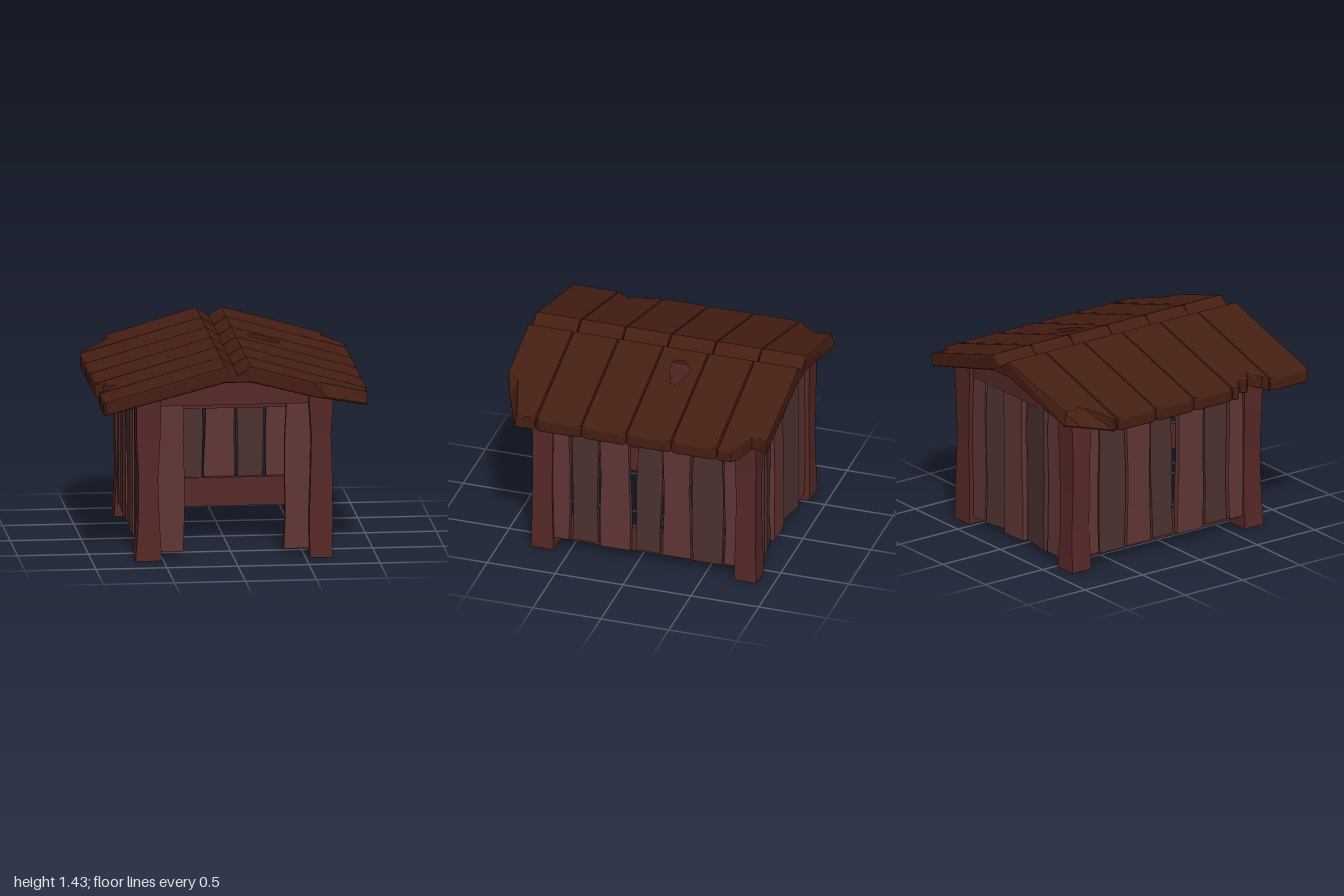
import * as THREE from 'three';

const mat = (color) => new THREE.MeshStandardMaterial({ color, flatShading: true, roughness: 1 });
const ROOF = mat(0x451e13), BEAM = mat(0x562927), LIGHT = mat(0x603634), DARK = mat(0x4c322f);

// Hand-cut timber: a box whose layers wobble a little; waist narrows the middle
function timber(name, w, h, d, material, seed, wobble = 0.008, waist = 0) {
  const g = new THREE.BoxGeometry(w, h, d, 1, 4, 1), p = g.attributes.position;
  for (let i = 0; i < p.count; i++) {
    const layer = Math.round((p.getY(i) / h + 0.5) * 4);
    const side = Math.sign(p.getX(i));
    const k = 1 - waist * Math.sin((layer / 4) * Math.PI);
    p.setX(i, p.getX(i) * k + wobble * Math.sin(seed * 3.7 + layer * 1.9 + side * 1.3));
    p.setZ(i, p.getZ(i) * k);
  }
  g.computeVertexNormals();
  const m = new THREE.Mesh(g, material);
  m.name = name;
  return m;
}

// Roof section heights, by distance a from the ridge
const topY = (a) => (a <= 0.09 ? 1.37 + (a / 0.09) * 0.06 : 1.43 - 0.285 * (a - 0.09));
const bottomY = (a) => (a <= 0.09 ? 1.31 : 1.31 - 0.259 * (a - 0.09));

// Roof board from a plan outline [a, z, topShiftA, topShiftZ], bent onto the roof section
function roofBoard(name, side, outline, lo, hi, hole) {
  const pts = (list) => list.map(([a, z]) => new THREE.Vector2(side * a, -z));
  const shape = new THREE.Shape(pts(outline));
  if (hole) shape.holes.push(new THREE.Path(pts(hole)));
  const g = new THREE.ExtrudeGeometry(shape, {
    depth: 0.7, bevelThickness: 0.15, bevelSize: 0.014, bevelOffset: -0.014, bevelSegments: 2,
  });
  const p = g.attributes.position;
  for (let i = 0; i < p.count; i++) {
    let a = p.getX(i) * side, z = -p.getY(i);
    const t = p.getZ(i) + 0.15;
    if (t > 0.5) { // splintered corners slope back towards the top
      const c = outline.find((o) => o[2] !== undefined && Math.hypot(o[0] - a, o[1] - z) < 0.045);
      if (c) { a += c[2]; z += c[3]; }
    }
    a = THREE.MathUtils.clamp(a, lo, hi);
    p.setXYZ(i, side * a, THREE.MathUtils.lerp(bottomY(a), topY(a), t), z);
  }
  g.computeVertexNormals();
  const m = new THREE.Mesh(g, ROOF);
  m.name = name;
  return m;
}

function buildRoof() {
  const roof = new THREE.Group();
  roof.name = 'roof';
  // Broken eave ends, listed from back to front; key = side and board number
  const ends = {
    '-1,0': [[0.755, -0.995, -0.02, 0.02], [0.81, -0.9, -0.09, 0.04], [0.87, -0.8, -0.12, -0.01],
      [0.935, -0.7, -0.01, 0], [0.93, -0.675]],
    '1,0': [[0.81, -0.995], [0.785, -0.93], [0.785, -0.88], [0.84, -0.855], [0.9, -0.825], [0.94, -0.775], [0.94, -0.675]],
    '-1,4': [[0.93, 0.338], [0.942, 0.385], [0.89, 0.41], [0.875, 0.44], [0.895, 0.485], [0.87, 0.515],
      [0.815, 0.545], [0.87, 0.585], [0.885, 0.62], [0.942, 0.64], [0.935, 0.66]],
    '1,5': [[0.935, 0.67], [0.935, 0.82, -0.01, -0.01], [0.84, 0.865, -0.02, -0.025],
      [0.72, 0.915, -0.03, -0.035], [0.63, 0.955, -0.03, -0.05], [0.54, 0.993]],
  };
  const hole = [[0.175, -0.2], [0.24, -0.265], [0.31, -0.27], [0.425, -0.21], [0.435, -0.15],
    [0.36, -0.13], [0.3, -0.1], [0.19, -0.1]];
  for (const side of [-1, 1]) {
    for (let n = 0; n < 6; n++) {
      const z0 = -0.997 + n * 0.3325, z1 = z0 + 0.329;
      const end = ends[`${side},${n}`] ||
        [[0.93, z0], [0.942, z0 + 0.03], [0.942, z1 - 0.03], [0.93, z1]];
      roof.add(roofBoard('roofBoard', side, [[0.06, z0], ...end, [0.06, z1]], 0.09, 0.942,
        side === 1 && n === 2 ? hole : null));
      roof.add(roofBoard('ridgeBoard', side,
        [[-0.03, z0], [0.12, z0], [0.12, z1], [-0.03, z1]], 0, 0.09));
    }
  }
  return roof;
}

// Wall of upright planks [from, to, dark, roll, yaw] along local x, outside facing +z
function buildWall(name, planks, bottom, top, rails) {
  const wall = new THREE.Group();
  wall.name = name;
  planks.forEach(([a, b, dark, roll = 0, yaw = 0], i) => {
    const y0 = bottom + 0.008 * Math.sin(i * 2.3);
    const m = timber('plank', b - a, top - y0, 0.045, dark ? DARK : LIGHT, i + 1, 0.006);
    m.position.set((a + b) / 2, (top + y0) / 2, dark ? -0.008 : 0);
    m.rotation.set(0, yaw, roll);
    wall.add(m);
  });
  for (const [x0, x1, y0, y1] of rails) {
    const m = new THREE.Mesh(new THREE.BoxGeometry(x1 - x0, y1 - y0, 0.045), BEAM);
    m.name = 'rail';
    m.position.set((x0 + x1) / 2, (y0 + y1) / 2, -0.04);
    wall.add(m);
  }
  return wall;
}

export function createModel() {
  const model = new THREE.Group();
  model.name = 'woodenShed';
  model.add(buildRoof());

  // Corner posts
  [[-0.605, 0.695], [0.61, 0.695], [-0.605, -0.8], [0.61, -0.8]].forEach(([x, z], i) => {
    const post = timber('cornerPost', 0.17, 1.17, 0.165, BEAM, i, 0.008, 0.13);
    post.position.set(x, 0.585, z);
    model.add(post);
  });

  // Gable boards under both roof ends
  const gable = new THREE.Shape([[-0.68, 1.1], [0.69, 1.1], [0.69, 1.16], [0.09, 1.32], [-0.09, 1.32], [-0.68, 1.16]]
    .map(([x, y]) => new THREE.Vector2(x, y)));
  for (const z of [0.65, -0.85]) {
    const m = new THREE.Mesh(new THREE.ExtrudeGeometry(gable, { depth: 0.09, bevelEnabled: false }), BEAM);
    m.name = 'gableBoard';
    m.position.z = z;
    model.add(m);
  }

  // Side walls, planks listed by z and mirrored across x
  const sidePlanks = [[0.5, 0.63, 0], [0.295, 0.48, 1], [0.06, 0.275, 0, -0.01], [-0.175, 0.005, 1, 0.022],
    [-0.385, -0.19, 0], [-0.625, -0.4, 1], [-0.74, -0.64, 0]];
  for (const side of [-1, 1]) {
    const list = sidePlanks.map(([a, b, dark, roll = 0]) =>
      side === 1 ? [-b, -a, dark, -roll] : [a, b, dark, roll]);
    const [r0, r1] = side === 1 ? [-0.63, 0.74] : [-0.74, 0.63];
    const wall = buildWall('sideWall', list, 0.09, 1.17, [[r0, r1, 0.065, 0.25], [r0, r1, 0.71, 0.9]]);
    wall.position.x = side * 0.645;
    wall.rotation.y = side * Math.PI / 2;
    model.add(wall);
  }

  // Back wall
  const back = buildWall('backWall',
    [[-0.54, -0.385, 0], [-0.365, -0.175, 1, 0, 0.2], [-0.165, 0.045, 0, 0.015], [0.06, 0.335, 1, 0, -0.2], [0.35, 0.54, 0]],
    0.05, 1.14, [[-0.54, 0.54, 0.05, 0.255], [-0.54, 0.54, 0.75, 0.945]]);
  back.position.z = -0.82;
  back.rotation.y = Math.PI;
  model.add(back);

  // Front wall: one plank beside each post, doorway between
  const front = buildWall('frontWall', [[-0.54, -0.35, 0], [0.36, 0.54, 0, -0.012]], 0.05, 1.11, []);
  front.position.z = 0.69;
  model.add(front);

  return model;
}
